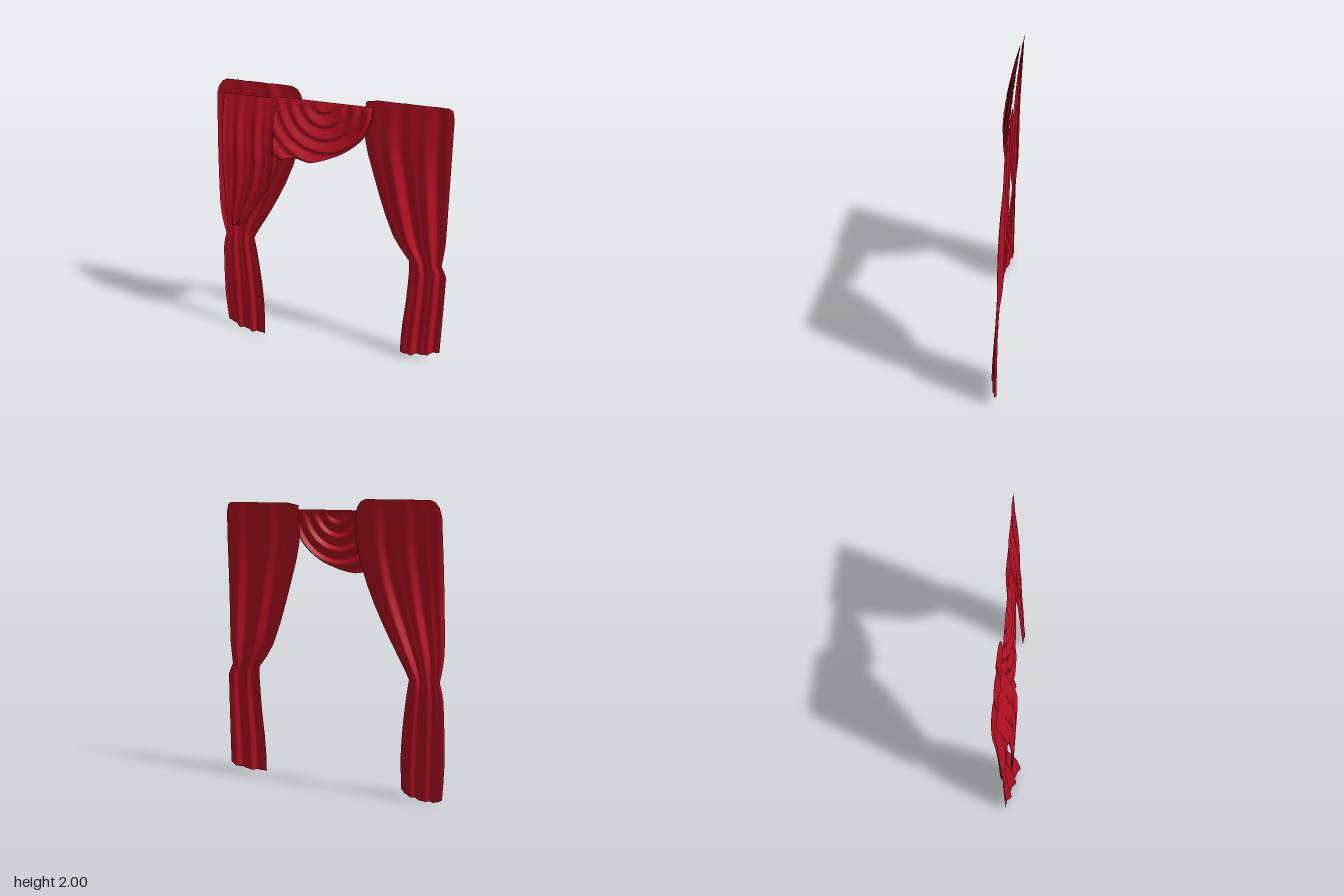
import * as THREE from 'three';

const cloth = new THREE.MeshStandardMaterial({ color: 0xb81022, side: THREE.DoubleSide });

// Sheet of cloth: place(u, row) gives the position, u from 0 to 1 across, rows from the top down
function sheet(name, cols, rows, place) {
  const geo = new THREE.PlaneGeometry(1, 1, cols, rows);
  const pos = geo.attributes.position;
  for (let j = 0; j <= rows; j++) {
    for (let i = 0; i <= cols; i++) {
      pos.setXYZ(j * (cols + 1) + i, ...place(i / cols, j));
    }
  }
  geo.computeVertexNormals();
  const mesh = new THREE.Mesh(geo, cloth);
  mesh.name = name;
  return mesh;
}

// Uneven vertical pleats, between -1 and 1
const pleats = (u, n, shift) =>
  0.65 * Math.cos(2 * Math.PI * n * u + shift) + 0.35 * Math.cos(2 * Math.PI * n * 1.9 * u + 1.3 + shift);

// Hanging cloth from rows of [y, left x, right x, z, pleat depth]
function hanging(name, rows, { n, shift = 0, skew = 0, hem }) {
  const last = rows.length - 1;
  return sheet(name, 48, last, (u, j) => {
    const [y, x0, x1, z, depth] = rows[j];
    const flare = skew * Math.max(0, 0.83 - y) / 0.8 * (2 * u - 1);
    return [
      THREE.MathUtils.lerp(x0, x1, u),
      j === last && hem ? hem(u) : y,
      z + flare + depth * pleats(u, n, shift),
    ];
  });
}

const rightCurtainRows = [
  [2.0, -0.70, -0.27, -0.075, 0.003],
  [1.985, -0.73, -0.235, -0.074, 0.005],
  [1.95, -0.755, -0.21, -0.071, 0.007],
  [1.9, -0.77, -0.197, -0.068, 0.009],
  [1.75, -0.776, -0.195, -0.058, 0.013],
  [1.6, -0.782, -0.22, -0.048, 0.017],
  [1.45, -0.787, -0.265, -0.040, 0.021],
  [1.32, -0.791, -0.315, -0.035, 0.024],
  [1.2, -0.795, -0.37, -0.032, 0.026],
  [1.1, -0.798, -0.42, -0.030, 0.026],
  [1.0, -0.795, -0.475, -0.028, 0.024],
  [0.92, -0.785, -0.52, -0.025, 0.020],
  [0.84, -0.77, -0.56, -0.020, 0.012],
  [0.78, -0.787, -0.55, -0.017, 0.011],
  [0.72, -0.797, -0.54, -0.013, 0.011],
  [0.6, -0.805, -0.522, -0.005, 0.011],
  [0.45, -0.811, -0.504, 0.004, 0.012],
  [0.28, -0.815, -0.49, 0.015, 0.013],
  [0.14, -0.81, -0.489, 0.023, 0.014],
  [0.03, -0.805, -0.489, 0.028, 0.014],
];

const leftCurtainRows = [
  [1.97, 0.28, 0.715, -0.066, 0.002],
  [1.955, 0.205, 0.74, -0.065, 0.004],
  [1.9, 0.2, 0.752, -0.064, 0.005],
  [1.72, 0.2, 0.757, -0.058, 0.009],
  [1.6, 0.225, 0.761, -0.050, 0.014],
  [1.45, 0.268, 0.765, -0.042, 0.020],
  [1.3, 0.312, 0.769, -0.036, 0.024],
  [1.15, 0.36, 0.773, -0.032, 0.026],
  [1.0, 0.418, 0.775, -0.029, 0.024],
  [0.91, 0.475, 0.769, -0.025, 0.019],
  [0.83, 0.538, 0.763, -0.020, 0.012],
  [0.75, 0.545, 0.8, -0.015, 0.011],
  [0.65, 0.544, 0.802, -0.010, 0.011],
  [0.5, 0.54, 0.804, -0.003, 0.012],
  [0.3, 0.527, 0.806, 0.007, 0.014],
  [0.15, 0.523, 0.807, 0.013, 0.015],
  [0.05, 0.525, 0.808, 0.016, 0.015],
];

// Loose end of the swag, hanging in front of the right curtain
const tailRows = [
  [1.915, -0.715, -0.37, -0.048, 0.003],
  [1.82, -0.721, -0.375, -0.022, 0.006],
  [1.7, -0.724, -0.382, 0.004, 0.010],
  [1.58, -0.727, -0.382, 0.024, 0.014],
  [1.48, -0.73, -0.382, 0.031, 0.014],
  [1.3, -0.731, -0.42, 0.034, 0.013],
  [1.17, -0.733, -0.495, 0.034, 0.011],
  [1.06, -0.735, -0.56, 0.033, 0.008],
  [0.99, -0.734, -0.605, 0.031, 0.006],
  [0.96, -0.73, -0.635, 0.030, 0.004],
  [0.948, -0.71, -0.665, 0.030, 0.002],
];

// Lower edge of the swag as a smooth curve through a few points
const swagEdge = new THREE.CatmullRomCurve3([
  [-0.395, 1.49], [-0.29, 1.532], [-0.15, 1.517], [0, 1.56], [0.1, 1.615],
  [0.2, 1.715], [0.245, 1.82], [0.26, 1.9],
].map(([x, y]) => new THREE.Vector3(x, y, 0)));

// Draped swag with rings of folds hanging from the top edge
function swag() {
  const rows = 64;
  return sheet('swag', 56, rows, (u, j) => {
    const t = j / rows;
    const edge = swagEdge.getPoint(u);
    const x = edge.x + (1 - t) * 0.02 * (1 - u);
    const y = THREE.MathUtils.lerp(1.928, edge.y, t);
    const ring = Math.hypot((x + 0.06) / 0.36, (1.93 - y) / 0.41);
    const phase = (ring * 4.6) % 1;
    const fold = phase < 0.7 ? phase / 0.7 : (1 - phase) / 0.3;
    const bulge = THREE.MathUtils.lerp(0.075, 0.008, u) * Math.pow(t, 0.8);
    const fade = Math.min(1, t * 6) * Math.min(1, (1 - u) * 3.5);
    return [x, y, -0.05 + bulge + 0.028 * (fold - 0.4) * fade];
  });
}

export function createModel() {
  const group = new THREE.Group();
  group.name = 'curtains';
  group.add(
    hanging('rightCurtain', rightCurtainRows, {
      n: 3, shift: 0.6, skew: 0.04, hem: (u) => 0.002 + 0.038 * Math.pow(Math.abs(2 * u - 1), 2.5),
    }),
    hanging('leftCurtain', leftCurtainRows, {
      n: 2.5, shift: 2.4, skew: -0.02, hem: (u) => 0.03 + 0.01 * Math.pow(1 - u, 4) + 0.045 * u ** 3,
    }),
    hanging('swagTail', tailRows, { n: 3, shift: 0.3 }),
    swag(),
  );
  return group;
}
